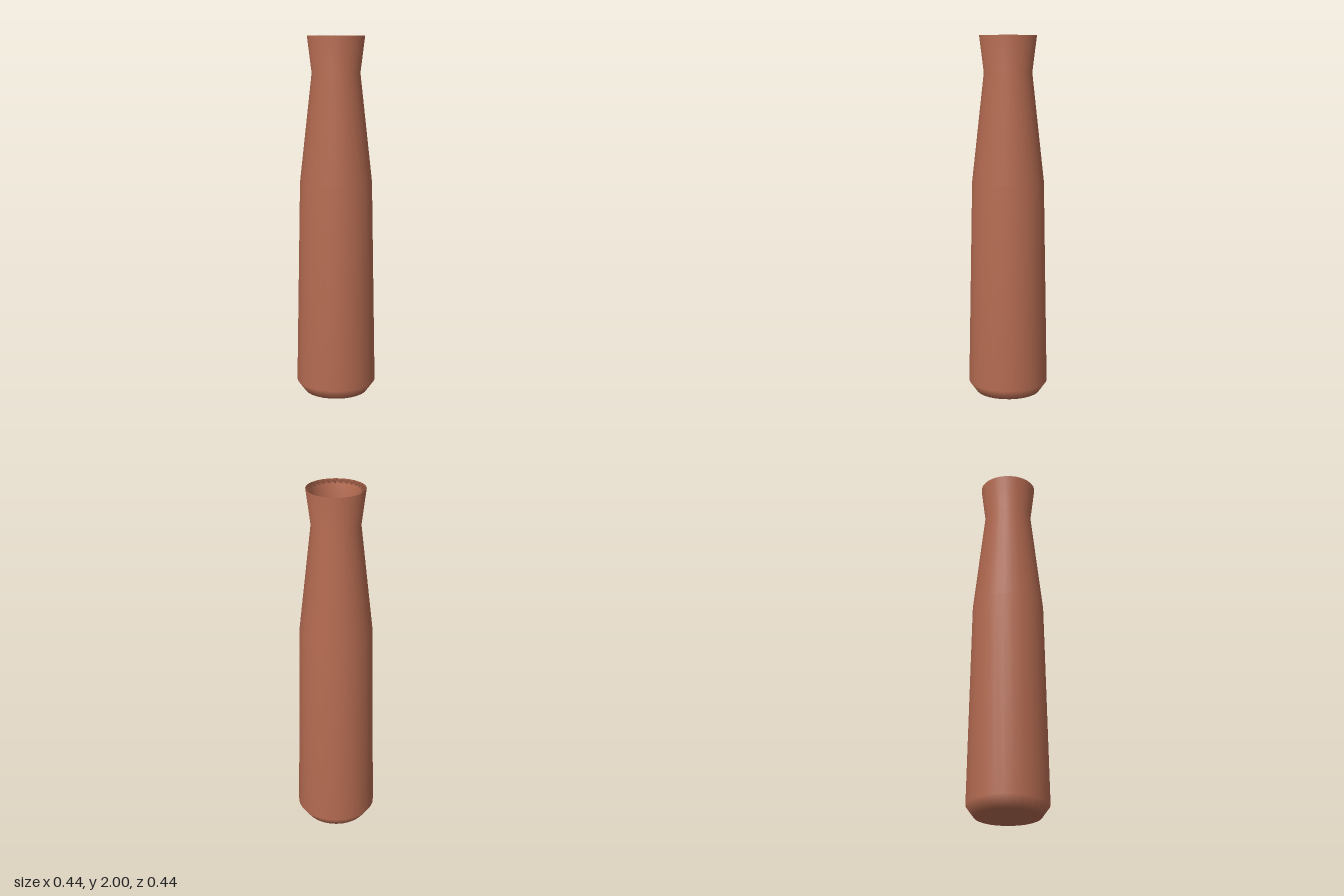
import * as THREE from 'three';

export function createModel() {
  const model = new THREE.Group();
  model.name = 'bottle';

  const clay = new THREE.MeshStandardMaterial({ color: 0xb66c52 });
  clay.name = 'terracotta';

  // Radius and height: up the outer wall, over the lip, down the hollow inside
  const profile = [
    [0, 0], [0.178, 0], [0.222, 0.06], [0.2, 1.2], [0.133, 1.8], [0.158, 2],
    [0.133, 1.98], [0.117, 1.8], [0.182, 1.2], [0.2, 0.08], [0.16, 0.03], [0, 0.03],
  ].map(([r, y]) => new THREE.Vector2(r, y));

  const body = new THREE.Mesh(new THREE.LatheGeometry(profile, 28), clay);
  body.name = 'bottleBody';
  model.add(body);

  return model;
}
